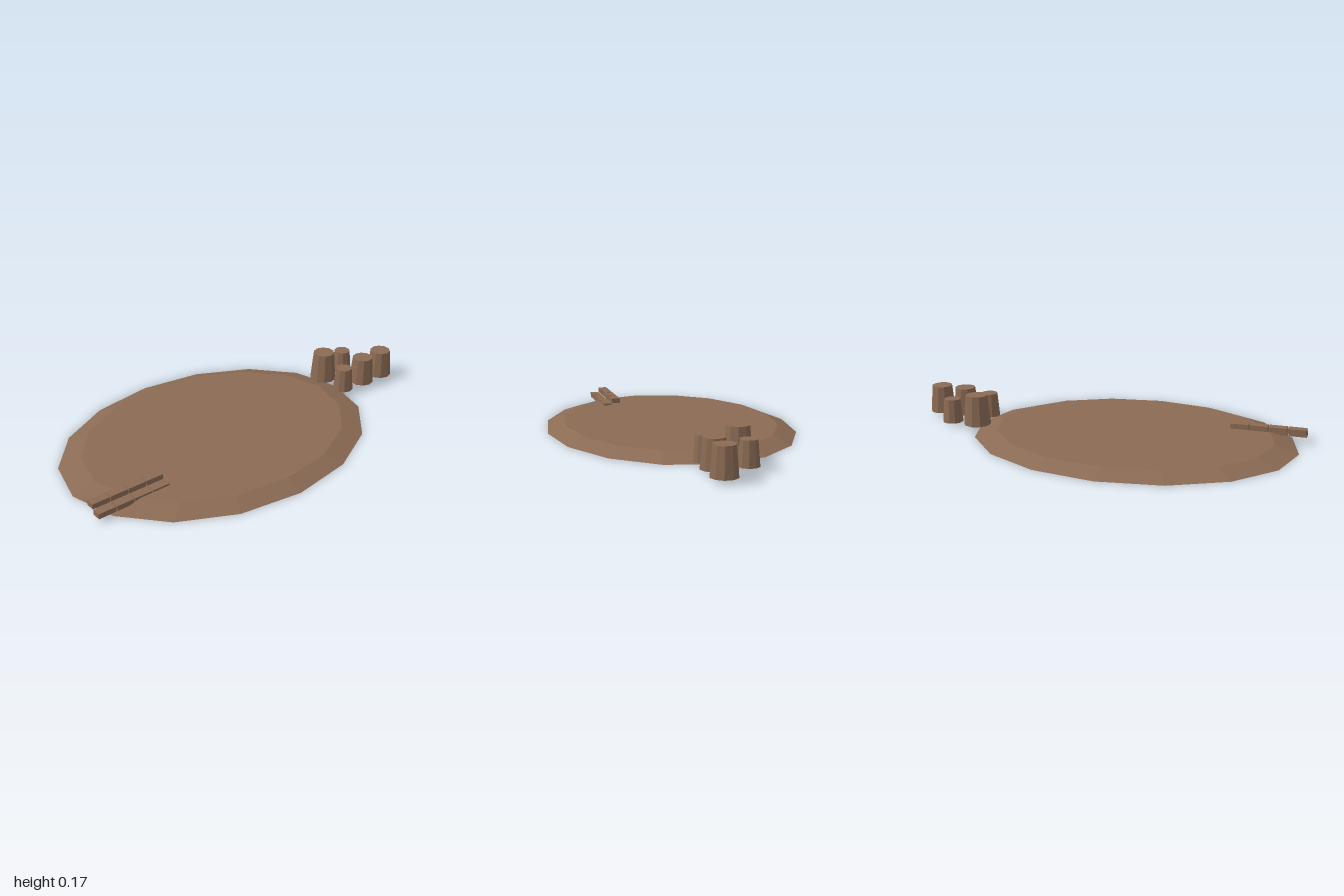
import * as THREE from 'three';

export function createModel() {
  const model = new THREE.Group();
  const brown = new THREE.MeshStandardMaterial({ color: 0x8b6b54, flatShading: true });
  brown.name = 'earth brown';

  const add = (name, geometry, x, y, z) => {
    const mesh = new THREE.Mesh(geometry, brown);
    mesh.name = name;
    mesh.position.set(x, y, z);
    model.add(mesh);
    return mesh;
  };

  // Low oval mound with a sloping rim
  const moundHeight = 0.036;
  const mound = new THREE.CylinderGeometry(0.858, 1, moundHeight, 16);
  mound.scale(0.828, 1, 0.636);
  add('mound', mound, -0.16, moundHeight / 2, 0);

  // Tapered stumps: x, z, top radius, base radius, top height
  const base = 0.02;
  const stumps = [
    [0.66, -0.09, 0.056, 0.07, 0.175],
    [0.8, -0.09, 0.042, 0.053, 0.142],
    [0.66, 0.068, 0.042, 0.053, 0.142],
    [0.8, 0.068, 0.053, 0.065, 0.162],
    [0.937, 0.068, 0.053, 0.065, 0.162],
  ];
  stumps.forEach(([x, z, top, bottom, height], i) => {
    const geometry = new THREE.CylinderGeometry(top, bottom, height - base, 10);
    add(`stump${i + 1}`, geometry, x, (height + base) / 2, z);
  });

  // Two stepped rows of four blocks
  const block = new THREE.BoxGeometry(0.091, 0.026, 0.045);
  const rows = [['lowerBlock', 0.033, 0.226], ['upperBlock', 0.059, 0.178]];
  for (const [name, y, z] of rows) {
    for (let i = 0; i < 4; i++) {
      add(`${name}${i + 1}`, block, -0.9545 + i * 0.0955, y, z);
    }
  }

  return model;
}
